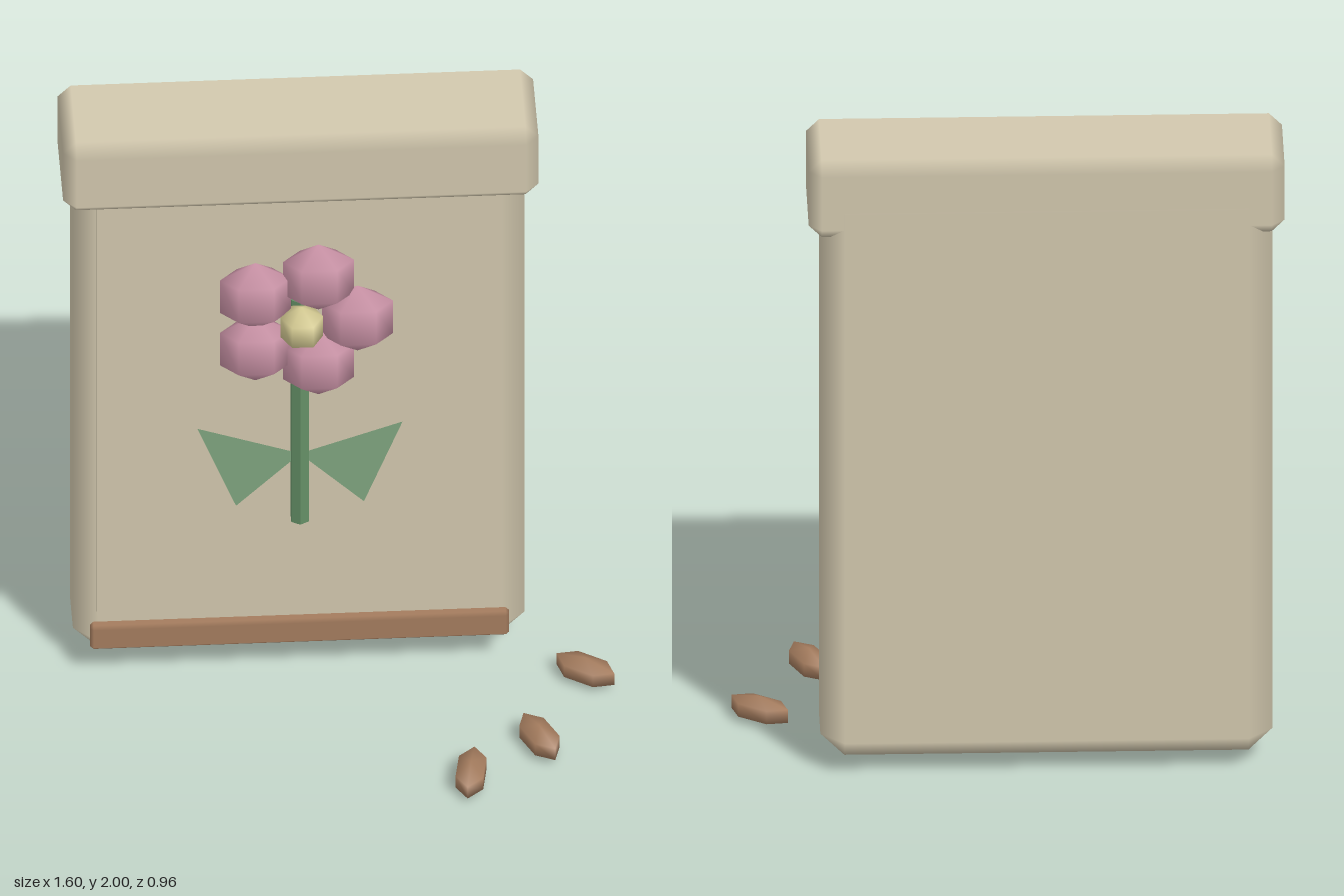
import * as THREE from 'three';
import { ConvexGeometry } from 'three/addons/geometries/ConvexGeometry.js';

function material(name, color) {
  const m = new THREE.MeshStandardMaterial({ color });
  m.name = name;
  return m;
}

// Box with one 45 degree bevel, shaded smoothly from face to face
function bevelBox(w, h, d, bevel) {
  const half = [w / 2, h / 2, d / 2];
  const points = [];
  for (let axis = 0; axis < 3; axis++) {
    for (const sx of [-1, 1]) for (const sy of [-1, 1]) for (const sz of [-1, 1]) {
      const s = [sx, sy, sz];
      points.push(new THREE.Vector3(...half.map((v, i) => s[i] * (i === axis ? v : v - bevel))));
    }
  }
  const geo = new ConvexGeometry(points);
  const pos = geo.attributes.position;
  const normal = geo.attributes.normal;
  for (let i = 0; i < pos.count; i++) {
    const p = [pos.getX(i), pos.getY(i), pos.getZ(i)];
    normal.setXYZ(i, ...p.map((v, k) => (Math.abs(Math.abs(v) - half[k]) < 1e-4 ? Math.sign(v) : 0)));
  }
  return geo;
}

export function createModel() {
  const model = new THREE.Group();
  const paper = material('paper', 0xd2c8ae);
  const brown = material('brown', 0xa47c5e);
  const pink = material('petal pink', 0xcc94a8);
  const yellow = material('pollen yellow', 0xd6cc94);
  const stemGreen = material('stem green', 0x648f66);
  const leafGreen = material('leaf green', 0x7fa57f);
  leafGreen.side = THREE.DoubleSide;

  const add = (name, geo, mat, x, y, z) => {
    const mesh = new THREE.Mesh(geo, mat);
    mesh.name = name;
    mesh.position.set(x, y, z);
    model.add(mesh);
    return mesh;
  };

  // Packet with its folded top, side seam and bottom band
  add('packetBody', bevelBox(1.32, 1.86, 0.274, 0.07), paper, -0.11, 0.98, -0.342);
  add('foldedTop', bevelBox(1.39, 0.25, 0.348, 0.038), paper, -0.11, 1.875, -0.302);
  add('sideSeam', new THREE.BoxGeometry(0.04, 1.56, 0.04), paper, -0.685, 1.02, -0.194);
  add('bottomBand', bevelBox(1.225, 0.085, 0.04, 0.01), brown, -0.112, 0.152, -0.194);

  // Stem and leaves
  const cx = -0.112, cy = 1.356;
  add('stem', new THREE.CylinderGeometry(0.03, 0.03, 0.82, 6).toNonIndexed(), stemGreen, cx, 0.98, -0.178)
    .geometry.computeVertexNormals();
  for (const side of [-1, 1]) {
    const leaf = new THREE.Shape([
      new THREE.Vector2(side * 0.012, 0.82), new THREE.Vector2(side * 0.3, 0.92),
      new THREE.Vector2(side * 0.187, 0.63), new THREE.Vector2(side * 0.012, 0.802),
    ]);
    add(side > 0 ? 'leftLeaf' : 'rightLeaf', new THREE.ShapeGeometry(leaf), leafGreen, cx, 0, -0.172);
  }

  // Flower
  const bead = new THREE.SphereGeometry(1, 6, 3);
  for (let i = 0; i < 5; i++) {
    const a = (i / 5) * Math.PI * 2;
    add('petal' + (i + 1), bead, pink, cx + 0.165 * Math.cos(a), cy + 0.165 * Math.sin(a), -0.112)
      .scale.set(0.12, 0.12, 0.068);
  }
  add('flowerCenter', bead, yellow, cx, cy, -0.081).scale.setScalar(0.072);

  // Loose seeds: x, z, turn
  const seeds = [[0.718, -0.088, -0.58], [0.565, 0.224, -1.13], [0.356, 0.383, -1.73]];
  seeds.forEach(([x, z, turn], i) => {
    const seed = add('seed' + (i + 1), bead, brown, x, 0.045, z);
    seed.scale.set(0.112, 0.042, 0.054);
    seed.rotation.y = turn;
  });
  return model;
}
